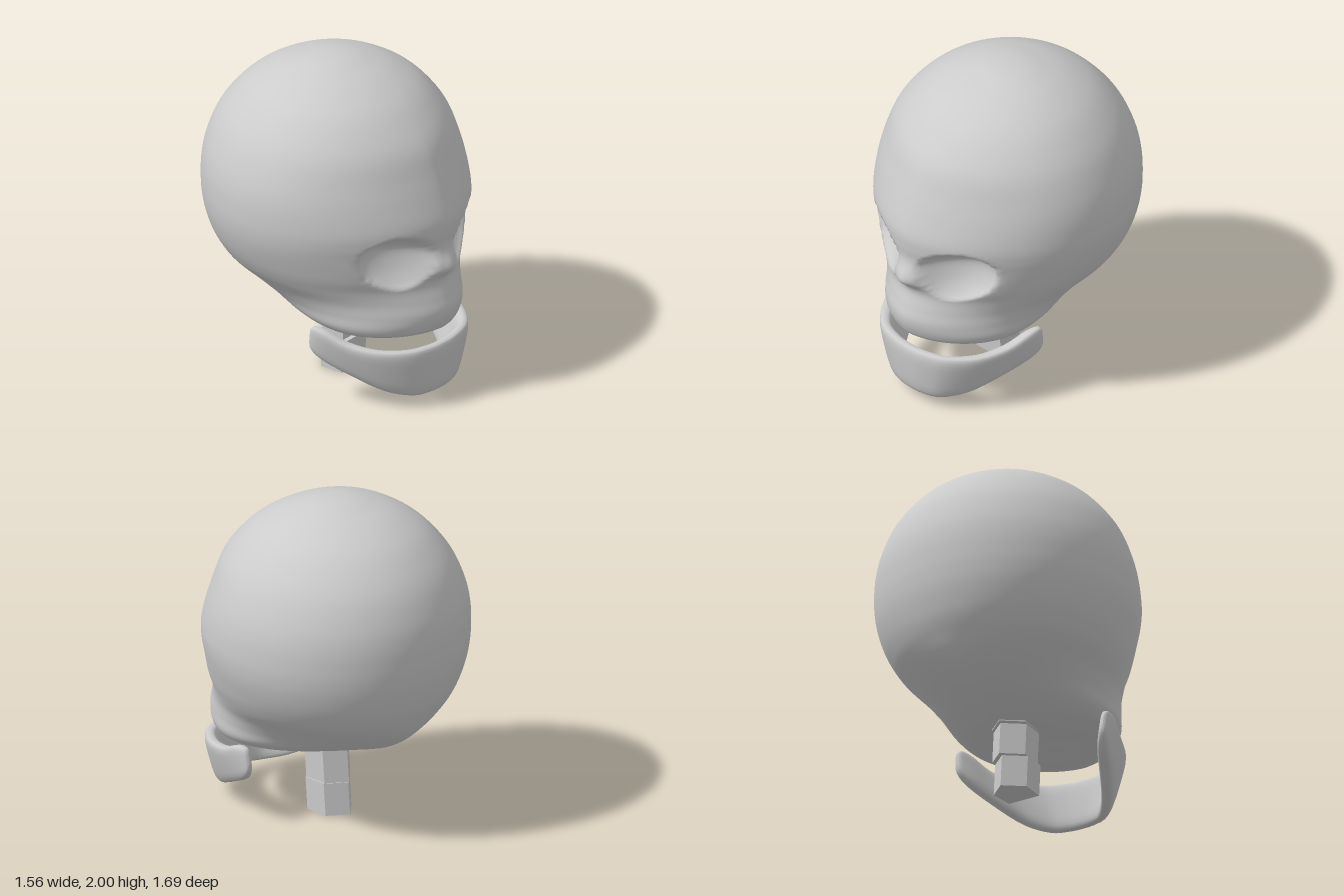
import * as THREE from 'three';

const grey = new THREE.MeshStandardMaterial({ color: 0xcccccc, side: THREE.DoubleSide });

// Smooth sampling of a table of cross-section parameters, t in 0..1
function sample(table, t) {
  const f = t * (table.length - 1), i = Math.min(Math.floor(f), table.length - 2), s = f - i;
  const row = (k) => table[THREE.MathUtils.clamp(k, 0, table.length - 1)];
  return table[i].map((b, k) => {
    const a = row(i - 1)[k], c = row(i + 1)[k], d = row(i + 2)[k];
    return b + 0.5 * s * (c - a + s * (2 * a - 5 * b + 4 * c - d + s * (3 * (b - c) + d - a)));
  });
}

// Skin of closed loops: point(t along rows, angle around loop) -> [x, y, z]
function loft(rows, cols, point) {
  const pos = [], idx = [];
  for (let i = 0; i <= rows; i++)
    for (let j = 0; j < cols; j++) {
      pos.push(...point(i / rows, (j / cols) * Math.PI * 2));
      if (i === rows) continue;
      const a = i * cols + j, b = i * cols + ((j + 1) % cols);
      idx.push(a, b, b + cols, a, b + cols, a + cols);
    }
  const g = new THREE.BufferGeometry();
  g.setAttribute('position', new THREE.Float32BufferAttribute(pos, 3));
  g.setIndex(idx);
  g.computeVertexNormals();
  return g;
}

function add(group, name, geometry) {
  const mesh = new THREE.Mesh(geometry, grey);
  mesh.name = name;
  group.add(mesh);
  return mesh;
}

// Skull levels, bottom to top: y, front z, back z, half width, z of widest point, rear taper
const skullLevels = [
  [0.43, 0.1, 0.1, 0, 0.1, 1],
  [0.425, 0.38, -0.1, 0.13, 0.15, 1.3],
  [0.435, 0.64, -0.2, 0.31, 0.35, 2],
  [0.465, 0.76, -0.31, 0.43, 0.32, 2.2],
  [0.52, 0.8, -0.45, 0.49, 0.26, 1.9],
  [0.6, 0.815, -0.58, 0.515, 0.18, 1.4],
  [0.68, 0.795, -0.66, 0.56, 0.08, 1.1],
  [0.77, 0.77, -0.72, 0.635, 0, 1],
  [0.85, 0.785, -0.765, 0.685, -0.03, 1],
  [0.93, 0.795, -0.795, 0.722, -0.05, 1],
  [1.02, 0.795, -0.82, 0.754, -0.05, 1],
  [1.1, 0.805, -0.833, 0.772, -0.05, 1],
  [1.19, 0.803, -0.84, 0.78, -0.05, 1],
  [1.32, 0.763, -0.838, 0.775, -0.05, 1],
  [1.45, 0.715, -0.815, 0.747, -0.05, 1],
  [1.6, 0.65, -0.755, 0.685, -0.05, 1],
  [1.72, 0.555, -0.67, 0.602, -0.05, 1],
  [1.83, 0.435, -0.555, 0.492, -0.05, 1],
  [1.92, 0.28, -0.4, 0.345, -0.05, 1],
  [1.973, 0.13, -0.24, 0.2, -0.05, 1],
  [1.994, 0.04, -0.14, 0.095, -0.05, 1],
  [2, -0.05, -0.05, 0, -0.05, 1],
];

const bump = (a, b) => Math.exp(-a * a - b * b);

function skullPoint(t, angle) {
  let [y, front, back, width, mid, taper] = sample(skullLevels, t);
  const s = Math.sin(angle), c = Math.cos(angle);
  // the plan is egg shaped, narrowing to the face
  const power = c < 0 ? taper : 1 + 0.2 * THREE.MathUtils.smoothstep(2 - y, 0.1, 0.6);
  const x = width * Math.sign(s) * Math.pow(Math.abs(s), power);
  let z = mid + (c > 0 ? front - mid : mid - back) * c;
  if (z > 0.3 && y > 0.6) {
    // eye sockets: steep under the brow, shallow towards the cheek
    const u = (Math.abs(x) - 0.29) / 0.21;
    const brow = 1.02 + 0.04 * THREE.MathUtils.clamp(u, -1, 0.3);
    const v = (y - brow) / (y > brow ? 0.12 : 0.23);
    z -= 0.15 * Math.pow(Math.max(0, 1 - u * u - v * v), 0.85);
    // nose, sloping gently above and cut short below
    z += 0.055 * bump(x / 0.1, (y - 0.875) / (y > 0.875 ? 0.08 : 0.045));
  }
  // hollow of the palate
  if (y < 0.5) y += 0.04 * bump(x / 0.2, (z - 0.45) / 0.13);
  return [x, y, z];
}

// Jaw sections from tip to chin: top x, z, y, bottom x, z, y, half thickness
const jawHalf = [
  [0.515, 0.187, 0.45, 0.512, 0.18, 0.4, 0],
  [0.51, 0.21, 0.49, 0.5, 0.19, 0.335, 0.025],
  [0.495, 0.29, 0.483, 0.455, 0.26, 0.262, 0.042],
  [0.45, 0.42, 0.425, 0.375, 0.41, 0.18, 0.046],
  [0.38, 0.58, 0.4, 0.28, 0.57, 0.1, 0.045],
  [0.26, 0.71, 0.395, 0.18, 0.685, 0.07, 0.042],
  [0.12, 0.762, 0.392, 0.09, 0.728, 0.07, 0.04],
  [0, 0.772, 0.39, 0, 0.738, 0.07, 0.04],
];
const jawSections = [
  ...jawHalf.map(([a, b, c, d, ...rest]) => [-a, b, c, -d, ...rest]),
  ...jawHalf.slice(0, -1).reverse(),
];

function jawPoint(t, angle) {
  const [tx, tz, ty, bx, bz, by, half] = sample(jawSections, t);
  const p = sample(jawSections, Math.max(0, t - 0.01)), q = sample(jawSections, Math.min(1, t + 0.01));
  const dx = q[0] - p[0], dz = q[1] - p[1], len = Math.hypot(dx, dz) || 1;
  const round = (w) => Math.sign(w) * Math.pow(Math.abs(w), 0.6);
  const k = (1 + round(Math.cos(angle))) / 2, out = round(Math.sin(angle)) * half;
  return [
    bx + (tx - bx) * k - (dz / len) * out,
    by + (ty - by) * k,
    bz + (tz - bz) * k + (dx / len) * out,
  ];
}

// Five-sided block with a point at the rear; shape y becomes -z, lean slides the top forwards
function vertebra(height, lean) {
  const shape = new THREE.Shape([[-0.11, -0.1], [0.1, -0.1], [0.11, 0.05], [0, 0.145], [-0.12, 0.05]]
    .map(([x, y]) => new THREE.Vector2(x, y)));
  const g = new THREE.ExtrudeGeometry(shape, { depth: height, bevelEnabled: false }).rotateX(-Math.PI / 2);
  const p = g.attributes.position;
  for (let i = 0; i < p.count; i++) p.setZ(i, p.getZ(i) + (p.getY(i) / height) * lean);
  g.computeVertexNormals();
  return g;
}

export function createModel() {
  const group = new THREE.Group();
  group.name = 'skull';
  add(group, 'cranium', loft(126, 144, skullPoint));
  add(group, 'jaw', loft(56, 24, jawPoint));

  // Neck
  add(group, 'lowerVertebra', vertebra(0.2, 0.015)).position.x = -0.01;
  add(group, 'upperVertebra', vertebra(0.2, 0.015)).position.y = 0.21;
  add(group, 'neckDisc', vertebra(0.025, 0)).position.y = 0.42;
  return group;
}
